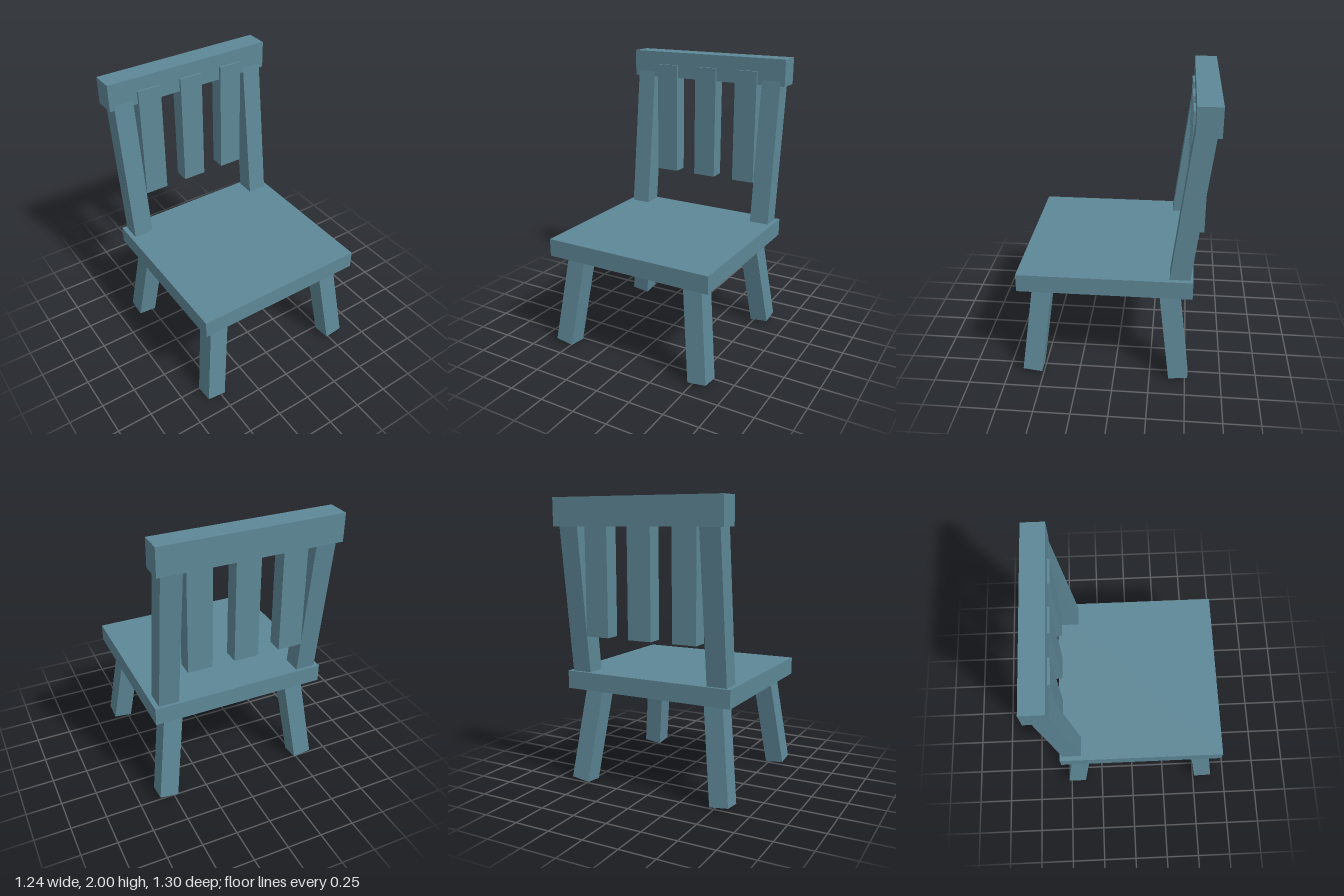
import * as THREE from 'three';

export function createModel() {
  const chair = new THREE.Group();
  chair.name = 'chair';
  const paint = new THREE.MeshStandardMaterial({ color: 0x5d8796, flatShading: true });

  const addBox = (name, size, position) => {
    const mesh = new THREE.Mesh(new THREE.BoxGeometry(...size), paint);
    mesh.name = name;
    mesh.position.set(...position);
    chair.add(mesh);
    return mesh;
  };

  // Seat slab and top rail of the backrest
  addBox('seat', [1.235, 0.125, 1.175], [0, 0.752, 0.062]);
  addBox('topRail', [1.235, 0.19, 0.157], [0, 1.905, -0.569]);

  // Upright slats hanging from the rail, slightly proud of its front
  for (const x of [-0.325, 0, 0.325]) {
    addBox('backSlat', [0.17, 0.825, 0.11], [x, 1.493, -0.53]);
  }

  const splay = 0.126;
  const lean = 0.116;
  for (const side of [-1, 1]) {
    const sideName = side > 0 ? 'left' : 'right';

    // Back post leaning backwards from the seat into the rail
    const post = addBox(sideName + 'BackPost', [0.14, 1.16, 0.134], [side * 0.515, 1.33, -0.498]);
    post.rotation.x = -lean;

    // Splayed legs, square-cut at the foot
    for (const end of [-1, 1]) {
      const leg = addBox(
        sideName + (end > 0 ? 'FrontLeg' : 'RearLeg'),
        [0.134, 0.75, 0.134],
        [side * 0.496, 0.386, 0.0625 + end * 0.469]
      );
      leg.rotation.set(-end * splay, 0, side * splay);
    }
  }
  return chair;
}
